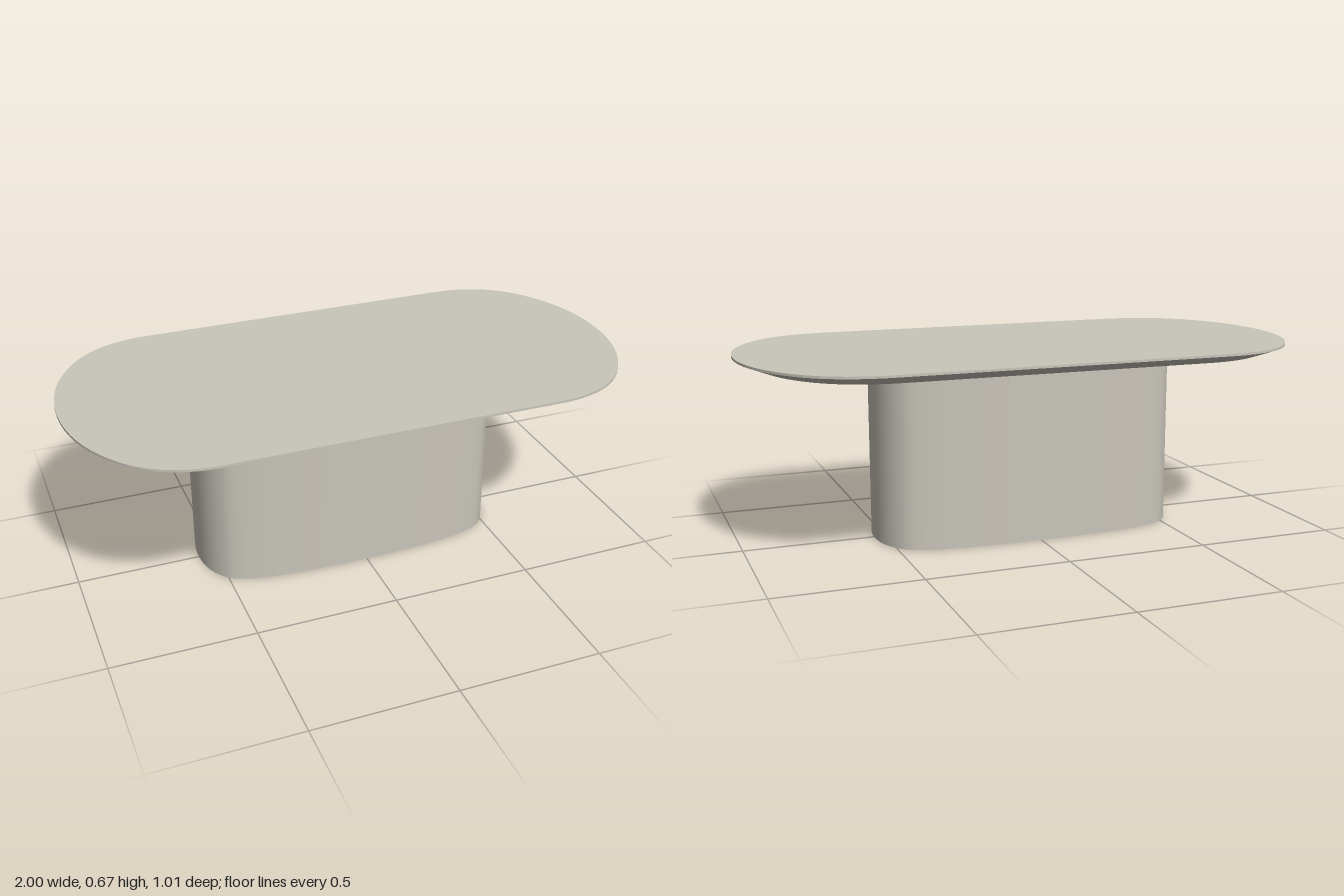
import * as THREE from 'three';
import { mergeGeometries } from 'three/addons/utils/BufferGeometryUtils.js';

// Closed outline mirrored from a quarter made of two bezier curves, end tip to middle of the long side
function outline(p, steps = 14) {
  const v = p.map(([x, z]) => new THREE.Vector2(x, z));
  const quarter = [
    ...new THREE.CubicBezierCurve(v[0], v[1], v[2], v[3]).getPoints(steps),
    ...new THREE.CubicBezierCurve(v[3], v[4], v[5], v[6]).getPoints(steps).slice(1),
  ];
  const half = [...quarter, ...quarter.slice(0, -1).reverse().map(q => new THREE.Vector2(-q.x, q.y))];
  return [...half, ...half.slice(1, -1).reverse().map(q => new THREE.Vector2(q.x, -q.y))];
}

const ring = (pts, y, sx = 1, sz = 1) => pts.map(p => [p.x * sx, y, p.y * sz]);

function build(positions, index) {
  const g = new THREE.BufferGeometry();
  g.setAttribute('position', new THREE.Float32BufferAttribute(positions.flat(), 3));
  g.setIndex(index);
  g.computeVertexNormals();
  return g;
}

// Smooth wall between two rings
function band(low, high) {
  const n = low.length, index = [];
  for (let i = 0; i < n; i++) {
    const j = (i + 1) % n;
    index.push(i, n + i, j, j, n + i, n + j);
  }
  return build([...low, ...high], index);
}

// Flat cap fanned from the centre
function cap(points, up) {
  const n = points.length, index = [];
  for (let i = 0; i < n; i++) {
    const j = (i + 1) % n;
    index.push(n, ...(up ? [j, i] : [i, j]));
  }
  return build([...points, [0, points[0][1], 0]], index);
}

// Solid through a stack of rings, sharp at every ring
function loft(rings) {
  const parts = [cap(rings[0], false), cap(rings[rings.length - 1], true)];
  for (let i = 1; i < rings.length; i++) parts.push(band(rings[i - 1], rings[i]));
  return mergeGeometries(parts);
}

export function createModel() {
  const group = new THREE.Group();
  group.name = 'table';
  const stone = new THREE.MeshStandardMaterial({ color: 0xc9c5bb });
  stone.name = 'warm grey';

  // Top with a thin rim and an undercut bevel
  const topLine = outline([[1, 0], [1, 0.14], [0.96, 0.27], [0.87, 0.38], [0.79, 0.475], [0.68, 0.505], [0.58, 0.505]]);
  const top = new THREE.Mesh(loft([
    ring(topLine, 0.625, 0.92, 0.85),
    ring(topLine, 0.657),
    ring(topLine, 0.665),
  ]), stone);
  top.name = 'tableTop';

  // Pedestal with gently bowed sides, set slightly off centre
  const baseLine = outline([[0.552, 0], [0.552, 0.07], [0.535, 0.13], [0.485, 0.175], [0.43, 0.22], [0.25, 0.238], [0, 0.238]]);
  const base = new THREE.Mesh(loft([ring(baseLine, 0), ring(baseLine, 0.625)]), stone);
  base.name = 'pedestal';
  base.position.set(-0.012, 0, -0.008);

  group.add(top, base);
  return group;
}
